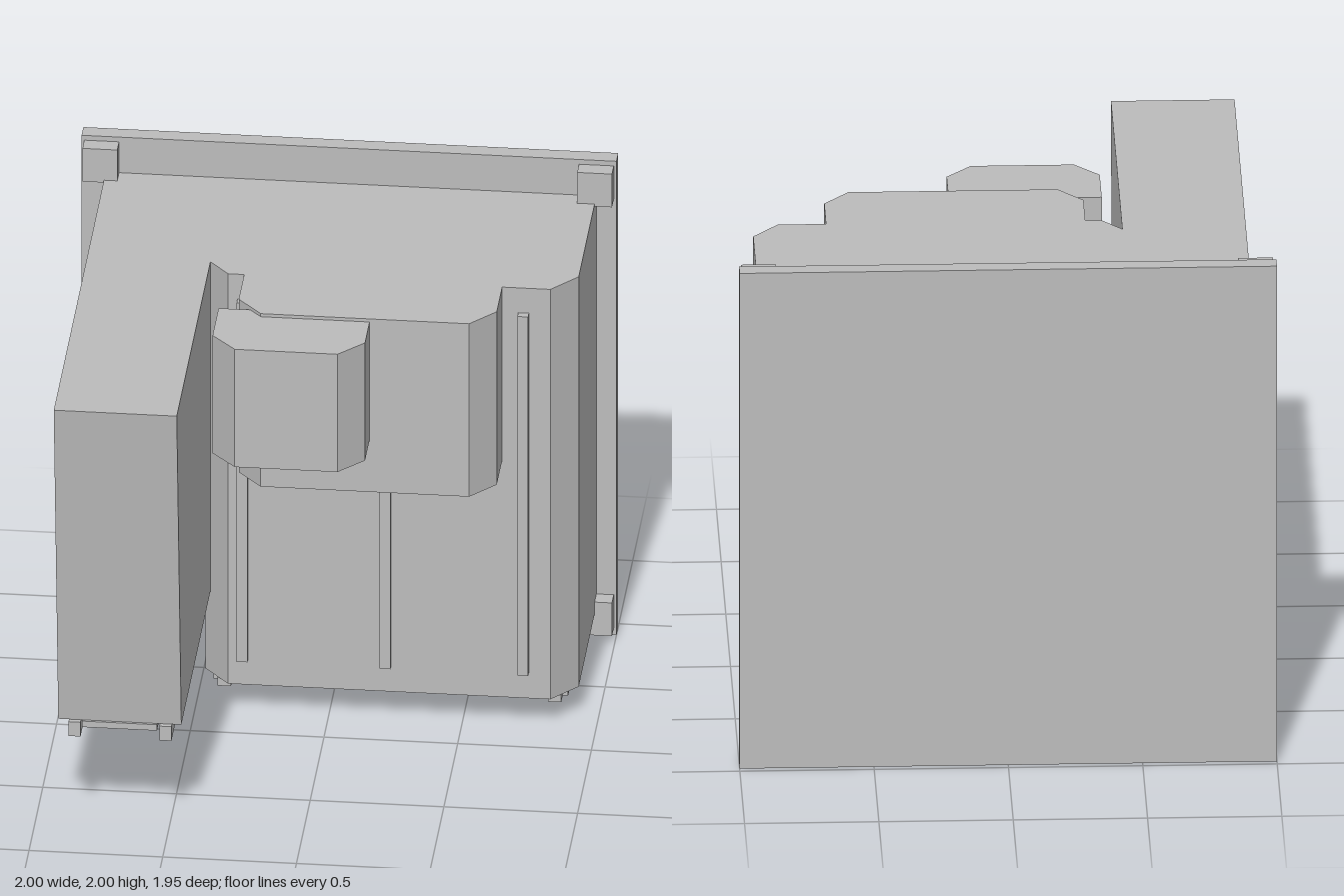
import * as THREE from 'three';

const grey = new THREE.MeshStandardMaterial({ color: 0xbcbcbc });
grey.name = 'machine grey';

export function createModel() {
  const model = new THREE.Group();
  model.name = 'cabinetUnit';

  const add = (name, geometry) => {
    const mesh = new THREE.Mesh(geometry, grey);
    mesh.name = name;
    model.add(mesh);
    return mesh;
  };
  // Box given by its limits on each axis
  const box = (name, x0, x1, y0, y1, z0, z1) => {
    const g = new THREE.BoxGeometry(x1 - x0, y1 - y0, z1 - z0);
    g.translate((x0 + x1) / 2, (y0 + y1) / 2, (z0 + z1) / 2);
    return add(name, g);
  };
  const extrude = (points, depth) => new THREE.ExtrudeGeometry(
    new THREE.Shape(points.map(([a, b]) => new THREE.Vector2(a, b))),
    { depth, bevelEnabled: false });
  // Upright block with its two front corners cut off
  const chamferedBlock = (name, x0, x1, y0, y1, z0, z1, cx, cz) => {
    const g = extrude([
      [x0, -z0], [x0, -(z1 - cz)], [x0 + cx, -z1],
      [x1 - cx, -z1], [x1, -(z1 - cz)], [x1, -z0],
    ], y1 - y0);
    g.rotateX(-Math.PI / 2).translate(0, y0, 0);
    return add(name, g);
  };
  // Side profile of [z, y] points carried across from x0 to x1
  const sideProfile = (name, points, x0, x1) => {
    const g = extrude(points, x1 - x0);
    g.rotateY(-Math.PI / 2).translate(x1, 0, 0);
    return add(name, g);
  };

  // Back plate with four corner blocks
  box('backPlate', -1, 1, 0, 2, -0.975, -0.91);
  for (const x of [-0.99, 0.86])
    for (const y of [0.03, 1.84])
      box('cornerBlock', x, x + 0.13, y, y + 0.14, -0.91, -0.845);

  // Main cabinet and the two housings on its front
  chamferedBlock('mainCabinet', -0.47, 0.925, 0.12, 1.85, -0.91, -0.16, 0.095, 0.11);
  chamferedBlock('upperHousing', -0.315, 0.65, 1.12, 1.85, -0.16, 0.14, 0.093, 0.105);
  chamferedBlock('smallHousing', -0.385, 0.185, 1.34, 1.837, 0.09, 0.405, 0.093, 0.1);

  // Vertical strips on the cabinet front
  for (const x of [-0.34, 0.195, 0.71])
    box('frontStrip', x, x + 0.04, 0.23, 1.745, -0.16, -0.13);

  // Side arm with a sloping front
  sideProfile('sideArm',
    [[0.975, 1.85], [0.81, 0.46], [-0.91, 0.46], [-0.91, 1.85]], -0.91, -0.45);

  // Runners and plate under the arm
  for (const x of [-0.87, -0.53])
    box('armRunner', x, x + 0.045, 0.4, 0.46, -0.91, 0.83);
  box('armUnderPlate', -0.82, -0.54, 0.435, 0.46, -0.91, 0.82);

  // Hanging bracket with small feet
  box('bracket', -0.81, -0.53, 0.26, 0.435, -0.03, 0.22);
  for (const x of [-0.83, -0.565])
    for (const z of [-0.05, 0.195])
      box('bracketFoot', x, x + 0.045, 0.26, 0.275, z, z + 0.045);

  // Sloping braces below the cabinet
  for (const x of [-0.44, 0.795]) {
    sideProfile('lowerBrace',
      [[-0.27, 0.08], [-0.27, 0.12], [-0.7, 0.12], [-0.91, 0.095], [-0.91, 0.015]], x, x + 0.09);
    box('braceEnd', x + 0.02, x + 0.07, 0.08, 0.12, -0.27, -0.215);
  }

  // Stepped pan between the braces
  box('panUpper', -0.35, 0.795, 0.08, 0.12, -0.91, -0.25);
  box('panLower', -0.31, 0.757, 0.067, 0.08, -0.88, -0.28);

  return model;
}
